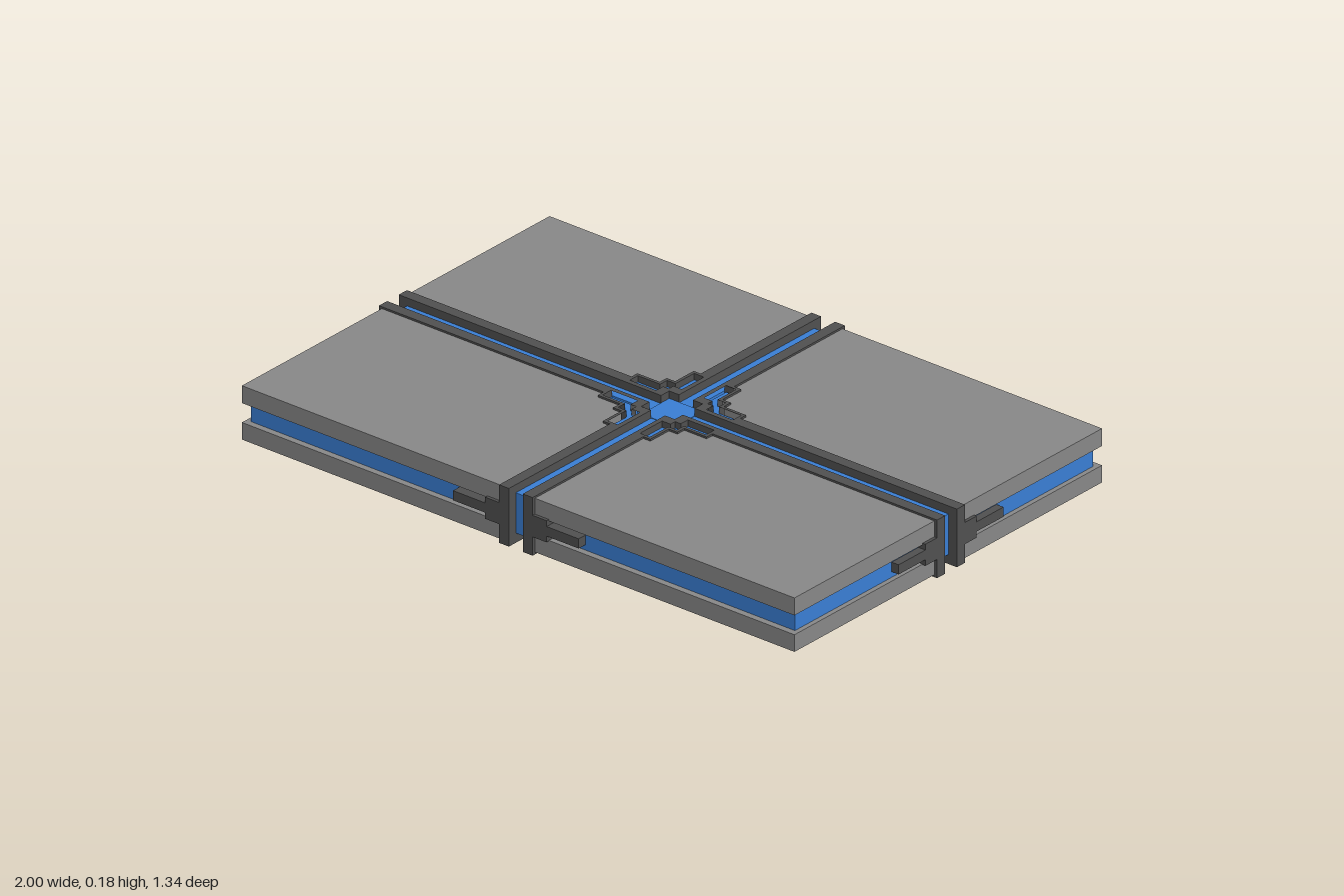
import * as THREE from 'three';

const material = (color) => new THREE.MeshStandardMaterial({ color, flatShading: true });

export function createModel() {
  const model = new THREE.Group();
  model.name = 'jointedPanels';
  const panelGrey = material(0x888888);
  const railGrey = material(0x505050);
  const blue = material(0x3a7fd5);

  const add = (parent, name, geometry, mat) => {
    const mesh = new THREE.Mesh(geometry, mat);
    mesh.name = name;
    parent.add(mesh);
  };

  // Box given by its limits on each axis
  const box = (x0, x1, y0, y1, z0, z1) =>
    new THREE.BoxGeometry(Math.abs(x1 - x0), y1 - y0, Math.abs(z1 - z0))
      .translate((x0 + x1) / 2, (y0 + y1) / 2, (z0 + z1) / 2);

  // Plan outline (x, z) raised from y0 to y1
  const prism = (points, y0, y1, hole) => {
    const toVec = ([x, z]) => new THREE.Vector2(x, z);
    const shape = new THREE.Shape(points.map(toVec));
    if (hole) shape.holes.push(new THREE.Path(hole.map(toVec)));
    return new THREE.ExtrudeGeometry(shape, { depth: y1 - y0, bevelEnabled: false })
      .rotateX(Math.PI / 2).translate(0, y1, 0);
  };

  // Stepped corner outlines for one quadrant
  const cornerOuter = [[0.195, 0.085], [0.115, 0.085], [0.115, 0.115], [0.085, 0.115], [0.085, 0.195]];
  const cornerOutline = [[0.025, 0.195], [0.025, 0.06], [0.06, 0.06], [0.06, 0.025], [0.195, 0.025], ...cornerOuter];
  const insertOutline = [
    [0.185, 0.04], [0.185, 0.075], [0.105, 0.075], [0.105, 0.105], [0.075, 0.105], [0.075, 0.185],
    [0.04, 0.185], [0.04, 0.09], [0.07, 0.09], [0.07, 0.07], [0.09, 0.07], [0.09, 0.04],
  ];
  const panelOutline = [
    [0.06, 0.66], [0.06, 0.195], ...[...cornerOuter].reverse(), [0.195, 0.06], [0.99, 0.06], [0.99, 0.66],
  ];
  const coreOutline = [[0.11, 0.64], [0.11, 0.115], [0.975, 0.115], [0.975, 0.64]];

  // Rail section: full height web, wide shoulder, thin tongue [from, to, bottom, top]
  const railSection = [[0.025, 0.06, 0, 0.18], [0.06, 0.11, 0.058, 0.125], [0.11, 0.225, 0.077, 0.107]];

  for (const sx of [-1, 1]) for (const sz of [-1, 1]) {
    const quarter = new THREE.Group();
    quarter.name = `${sz > 0 ? 'front' : 'back'}${sx > 0 ? 'Left' : 'Right'}Quarter`;
    model.add(quarter);
    const place = (points) => points.map(([x, z]) => [sx * x, sz * z]);

    add(quarter, 'lowerPanel', prism(place(panelOutline), 0.007, 0.06), panelGrey);
    add(quarter, 'upperPanel', prism(place(panelOutline), 0.12, 0.174), panelGrey);
    add(quarter, 'core', prism(place(coreOutline), 0.06, 0.12), blue);
    add(quarter, 'cornerBracket', prism(place(cornerOutline), 0, 0.18, place(insertOutline)), railGrey);
    add(quarter, 'cornerInsert', prism(place(insertOutline), 0.02, 0.16), blue);

    // Rails along both seams
    for (const [a, b, y0, y1] of railSection) {
      add(quarter, 'lengthwiseRail', box(sx * 0.195, sx, y0, y1, sz * a, sz * b), railGrey);
      add(quarter, 'crosswiseRail', box(sx * a, sx * b, y0, y1, sz * 0.195, sz * 0.67), railGrey);
    }
  }

  // Seam fillers and their crossing
  add(model, 'lengthwiseSeam', box(-0.97, 0.97, 0.03, 0.155, -0.025, 0.025), blue);
  add(model, 'crosswiseSeam', box(-0.025, 0.025, 0.03, 0.155, -0.64, 0.64), blue);
  add(model, 'seamCrossing', box(-0.06, 0.06, 0.028, 0.157, -0.06, 0.06), blue);

  return model;
}
